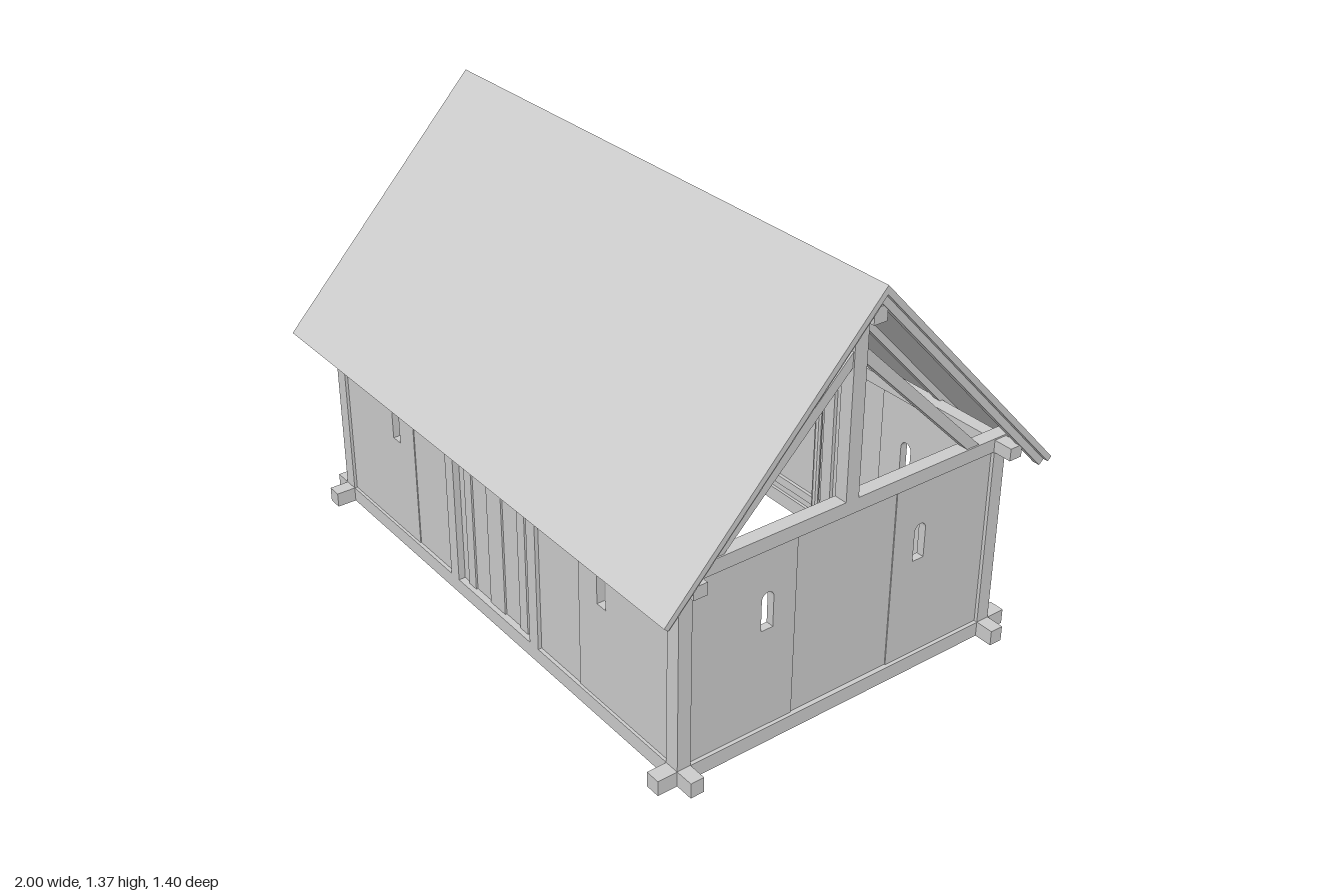
import * as THREE from 'three';

const mat = new THREE.MeshStandardMaterial({ color: 0xcccccc, flatShading: true, side: THREE.DoubleSide });

export function createModel() {
  const house = new THREE.Group();
  house.name = 'timberHouse';

  function add(name, geometry, parent = house) {
    const mesh = new THREE.Mesh(geometry, mat);
    mesh.name = name;
    parent.add(mesh);
    return mesh;
  }

  // box given by its limits on each axis
  function box(name, x0, x1, y0, y1, z0, z1, parent) {
    const g = new THREE.BoxGeometry(x1 - x0, y1 - y0, z1 - z0);
    g.translate((x0 + x1) / 2, (y0 + y1) / 2, (z0 + z1) / 2);
    return add(name, g, parent);
  }

  // profile of (z, y) points extruded along x, centred on the given x
  function crossProfile(name, points, x, width) {
    const shape = new THREE.Shape(points.map(([z, y]) => new THREE.Vector2(z, y)));
    const g = new THREE.ExtrudeGeometry(shape, { depth: width, bevelEnabled: false });
    g.translate(0, 0, -width / 2).rotateY(-Math.PI / 2).translate(x, 0, 0);
    return add(name, g);
  }

  // upright wall plank with an optional arched window hole
  function plank(name, a, b, thickness, windowAt, parent) {
    const s = new THREE.Shape();
    s.moveTo(a, 0.05).lineTo(b, 0.05).lineTo(b, 0.645).lineTo(a, 0.645).closePath();
    if (windowAt !== undefined) {
      const r = 0.021, h = new THREE.Path();
      h.moveTo(windowAt - r, 0.38).lineTo(windowAt + r, 0.38).lineTo(windowAt + r, 0.48);
      h.absarc(windowAt, 0.48, r, 0, Math.PI, false).closePath();
      s.holes.push(h);
    }
    const g = new THREE.ExtrudeGeometry(s, { depth: thickness, bevelEnabled: false, curveSegments: 8 });
    g.translate(0, 0, -thickness / 2);
    return add(name, g, parent);
  }

  // crossing sills at the bottom and plates and tie beams at the top
  for (const s of [-1, 1]) {
    const z = s * 0.5675, x = s * 0.895;
    box('longSill', -0.98, 0.98, 0, 0.05, z - 0.0225, z + 0.0225);
    box('endSill', x - 0.0245, x + 0.0245, 0, 0.0495, -0.655, 0.655);
    box('wallPlate', -0.98, 0.98, 0.645, 0.685, z - 0.0225, z + 0.0225);
  }

  // corner posts and door posts
  for (const sx of [-1, 1]) for (const sz of [-1, 1]) {
    for (const [name, x, w] of [['cornerPost', 0.895, 0.0245], ['doorPost', 0.2225, 0.0225]]) {
      box(name, sx * x - w, sx * x + w, 0.05, 0.645, sz * 0.5675 - 0.0225, sz * 0.5675 + 0.0225);
    }
  }

  // front and back walls, each with a plank door between the door posts
  for (const side of [1, -1]) {
    const wall = new THREE.Group();
    wall.name = side > 0 ? 'frontWall' : 'backWall';
    wall.position.z = side * 0.5675;
    wall.rotation.y = side > 0 ? 0 : Math.PI;
    house.add(wall);
    for (const s of [-1, 1]) {
      plank('wallPlank', s > 0 ? 0.245 : -0.45, s > 0 ? 0.45 : -0.245, 0.02, undefined, wall);
      plank('windowPlank', s > 0 ? 0.45 : -0.87, s > 0 ? 0.87 : -0.45, 0.026, s * 0.56, wall);
    }
    const cuts = [-0.2, -0.165, -0.125, -0.04, 0.04, 0.125, 0.165, 0.2];
    for (let i = 0; i < cuts.length - 1; i++) {
      const t = i % 2 ? 0.006 : 0.0;
      box('doorPlank', cuts[i], cuts[i + 1], 0.05, 0.645, -0.012, t, wall);
    }
    // battens and diagonal brace on the inside of the door
    for (const y of [0.08, 0.58]) box('doorBatten', -0.19, 0.19, y, y + 0.03, -0.024, -0.012, wall);
    const brace = add('doorBrace', new THREE.BoxGeometry(0.58, 0.03, 0.012), wall);
    brace.position.set(0, 0.345, -0.018);
    brace.rotation.z = -Math.atan2(0.46, 0.36);
    const pivot = add('doorPivot', new THREE.CylinderGeometry(0.012, 0.012, 0.63, 8), wall);
    pivot.position.set(-0.185, 0.335, -0.03);
  }

  // end walls of three planks, windows in the outer two
  for (const side of [1, -1]) {
    const wall = new THREE.Group();
    wall.name = 'endWall';
    wall.position.x = side * 0.895;
    wall.rotation.y = side * Math.PI / 2;
    house.add(wall);
    plank('windowPlank', -0.545, -0.18, 0.026, -0.28, wall);
    plank('middlePlank', -0.18, 0.18, 0.02, undefined, wall);
    plank('windowPlank', 0.18, 0.545, 0.026, 0.28, wall);
  }

  // trusses: tie beam, king post and a pair of struts
  for (const x of [-0.895, -0.2225, 0.2225, 0.895]) {
    box('tieBeam', x - 0.0225, x + 0.0225, 0.645, 0.69, -0.615, 0.615);
    box('kingPost', x - 0.0225, x + 0.0225, 0.69, 1.26, -0.023, 0.023);
    for (const s of [-1, 1]) {
      crossProfile('strut', [[s * 0.023, 1.1], [s * 0.438, 0.69], [s * 0.485, 0.69], [s * 0.023, 1.147]], x, 0.035);
    }
  }
  box('ridgeBeam', -0.98, 0.98, 1.25, 1.298, -0.023, 0.023);

  // roof layer between two depths measured inward from the outer surface
  function roofLayer(outer, inner) {
    const end = (t) => [0.698 - 0.731 * t, 0.617 - 0.682 * t];
    const top = (t) => [0, 1.365 - t / 0.682];
    const flip = ([z, y]) => [-z, y];
    return [top(outer), end(outer), end(inner), top(inner), flip(end(inner)), flip(end(outer))];
  }
  crossProfile('roofCovering', roofLayer(0, 0.018), 0, 2);
  for (let i = -3; i <= 3; i++) crossProfile('rafterPair', roofLayer(0.018, 0.04), i * 0.324, 0.023);

  return house;
}
